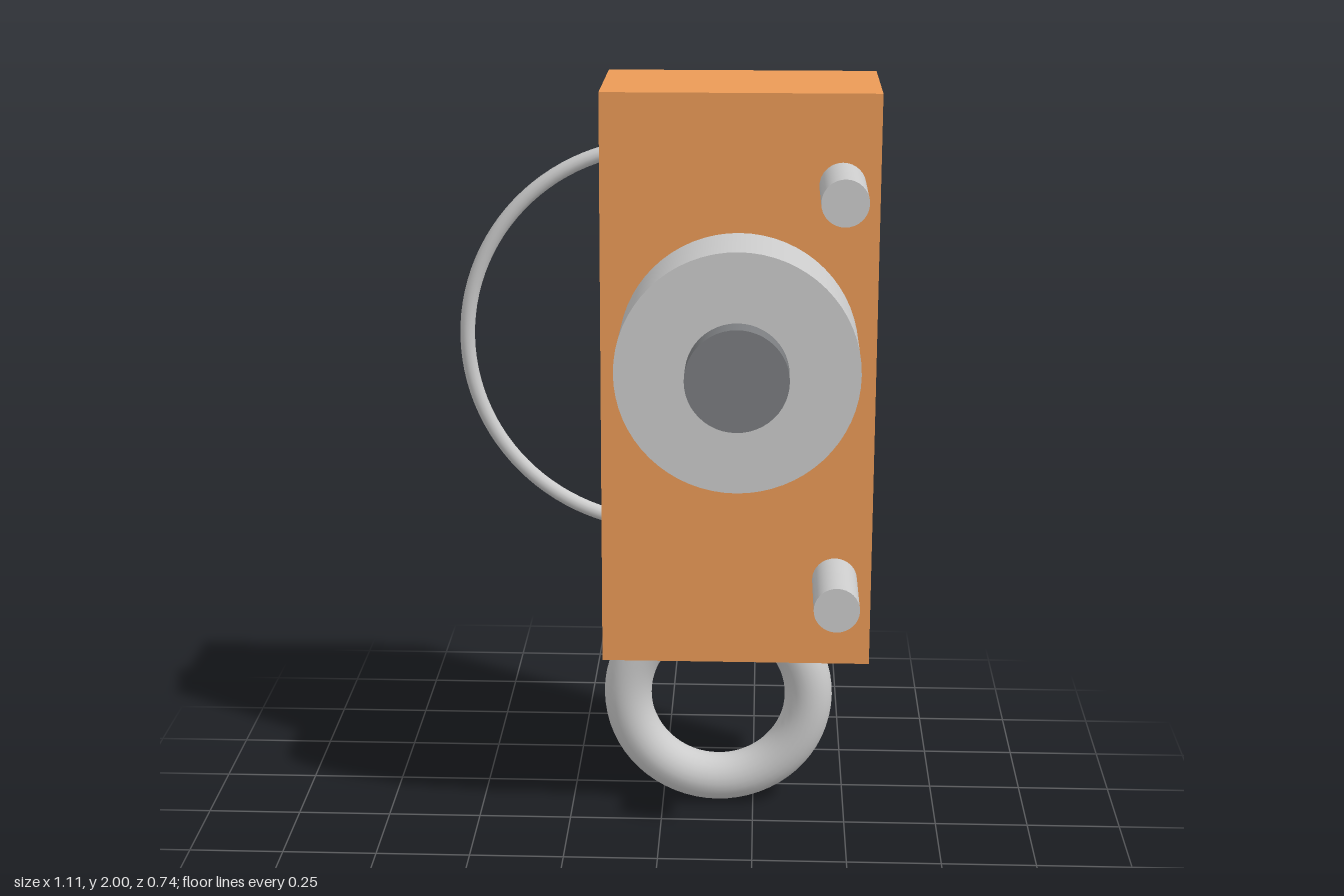
import * as THREE from 'three';

const material = (color) => new THREE.MeshStandardMaterial({ color });

export function createModel() {
  const group = new THREE.Group();
  const grey = material(0xcccccc);
  const orange = material(0xeb9b57);
  const dark = material(0x7b7d80);
  const boxFront = 0.055;

  const add = (name, geometry, mat, x, y, z) => {
    const mesh = new THREE.Mesh(geometry, mat);
    mesh.name = name;
    mesh.position.set(x, y, z);
    group.add(mesh);
    return mesh;
  };

  // Cylinder lying along z between two depths
  const rod = (name, radius, x, y, z0, z1, mat, sides) =>
    add(name, new THREE.CylinderGeometry(radius, radius, z1 - z0, sides).rotateX(Math.PI / 2),
      mat, x, y, (z0 + z1) / 2);

  // Main block
  add('body', new THREE.BoxGeometry(0.71, 1.515, 0.425), orange, 0.2, 1.2425, -0.1575);

  // Front dial with its centre button
  rod('dial', 0.308, 0.2, 1.338, boxFront, 0.295, grey, 64);
  rod('button', 0.13, 0.2, 1.338, 0.295, 0.367, dark, 48);

  // Upper and lower pegs
  for (const [name, y] of [['upperPeg', 1.768], ['lowerPeg', 0.721]]) {
    rod(name, 0.059, 0.459, y, boxFront, 0.295, grey, 32);
  }

  // Hanging ring, its top sunk into the block
  add('ring', new THREE.TorusGeometry(0.249, 0.065, 24, 64), grey, 0.151, 0.314, -0.153);

  // Thin side handle: an arc whose ends sink into the block
  const arc = Math.PI * 1.2;
  add('wireHandle', new THREE.TorusGeometry(0.524, 0.02, 12, 64, arc).rotateZ(Math.PI - arc / 2),
    grey, -0.013, 1.29, -0.275);

  return group;
}
